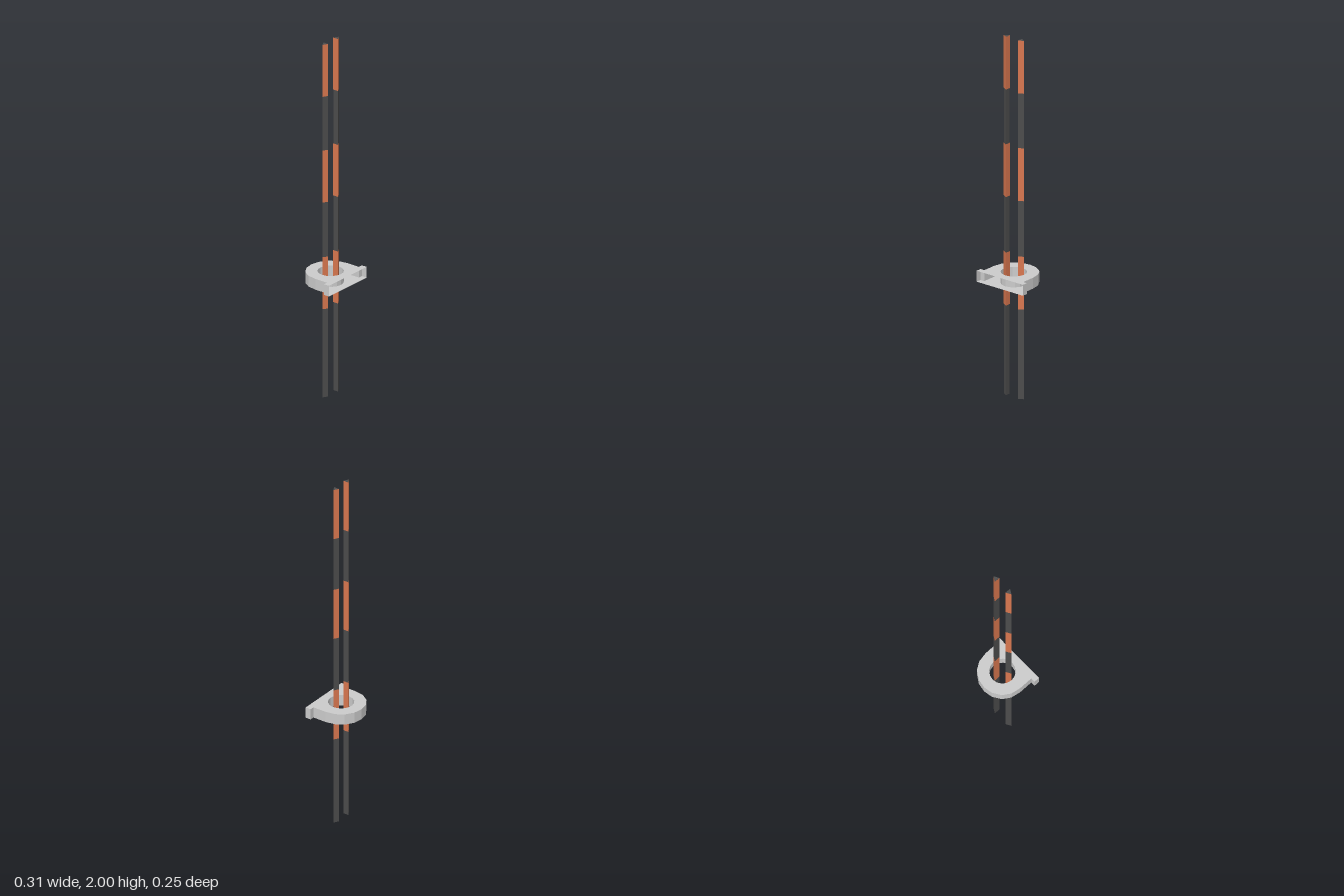
import * as THREE from 'three';
import { mergeGeometries } from 'three/addons/utils/BufferGeometryUtils.js';

const grey = new THREE.MeshStandardMaterial({ color: 0xcccccc, flatShading: true, side: THREE.DoubleSide });
const dark = new THREE.MeshStandardMaterial({ color: 0x4c4c4c, flatShading: true });
const orange = new THREE.MeshStandardMaterial({ color: 0xd9774f, flatShading: true });

const BOTTOM = 0.634, TOP = 0.695, CENTRE_Z = 0.008;

// Upright walls along a path of [x, z] points
function walls(points) {
  const panels = [];
  for (let i = 0; i < points.length - 1; i++) {
    const [ax, az] = points[i], [bx, bz] = points[i + 1];
    const panel = new THREE.PlaneGeometry(Math.hypot(bx - ax, bz - az), TOP - BOTTOM);
    panel.rotateY(-Math.atan2(bz - az, bx - ax));
    panel.translate((ax + bx) / 2, (TOP + BOTTOM) / 2, (az + bz) / 2);
    panels.push(panel);
  }
  return mergeGeometries(panels);
}

// Three-sided bar with one edge pointing outwards
function prism(name, side, radius, y0, y1, open, material) {
  const g = new THREE.CylinderGeometry(radius, radius, y1 - y0, 3, 1, open);
  g.rotateY(side * Math.PI / 2);
  g.translate(side * 0.05, (y0 + y1) / 2, CENTRE_Z);
  const mesh = new THREE.Mesh(g, material);
  mesh.name = name;
  return mesh;
}

function add(parent, name, geometry) {
  const mesh = new THREE.Mesh(geometry, grey);
  mesh.name = name;
  parent.add(mesh);
}

export function createModel() {
  const model = new THREE.Group();
  model.name = 'rodsWithBracket';

  // Bracket: hollow arched shell, open at the front
  const bracket = new THREE.Group();
  bracket.name = 'bracket';
  const half = [[0.157, 0.122], [0.157, 0.09], [0.132, 0.09], [0.132, 0.012],
    [0.122, -0.043], [0.095, -0.085], [0.05, -0.114]];
  const outline = [...half, [0, -0.123], ...half.map(([x, z]) => [-x, z]).reverse()];
  const hole = [];
  for (let i = 0; i <= 16; i++) {
    const a = i * Math.PI / 8;
    hole.push([0.069 * Math.cos(a), CENTRE_Z + 0.069 * Math.sin(a)]);
  }
  const toShape = ([x, z]) => new THREE.Vector2(x, -z);
  const shape = new THREE.Shape(outline.map(toShape));
  shape.holes.push(new THREE.Path(hole.map(toShape)));
  const plate = new THREE.ShapeGeometry(shape).rotateX(-Math.PI / 2);
  add(bracket, 'topPlate', plate.clone().translate(0, TOP, 0));
  // the lower plate is flipped to face down
  add(bracket, 'bottomPlate', plate.clone().rotateZ(Math.PI).translate(0, BOTTOM, 0));
  add(bracket, 'outerWall', walls(outline));
  add(bracket, 'holeWall', walls(hole));
  model.add(bracket);

  // Pair of dark rods with orange bands
  for (const side of [1, -1]) {
    const rod = new THREE.Group();
    rod.name = side > 0 ? 'leftRod' : 'rightRod';
    rod.add(prism('core', side, 0.018, 0, 2, false, dark));
    for (const [y0, y1] of [[0.5, 0.795], [1.105, 1.4], [1.705, 2]])
      rod.add(prism('band', side, 0.0188, y0, y1, true, orange));
    model.add(rod);
  }
  return model;
}
